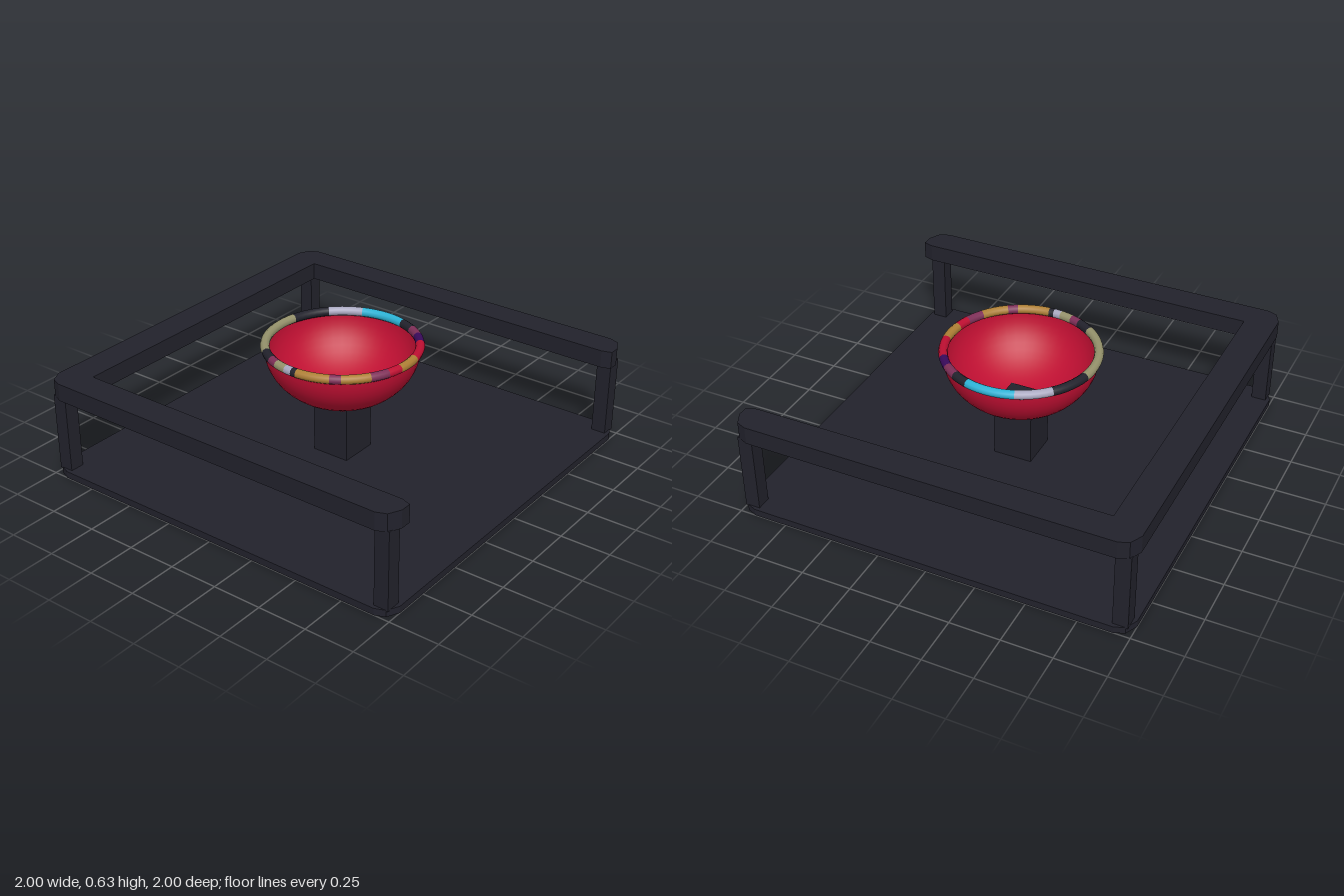
import * as THREE from 'three';

const paint = (name, color) => {
  const m = new THREE.MeshStandardMaterial({ color });
  m.name = name;
  return m;
};

export function createModel() {
  const group = new THREE.Group();
  const mats = {
    dark: paint('charcoal', 0x22222c),
    red: paint('crimson', 0xc00f32),
    gold: paint('gold', 0xae7f35),
    olive: paint('olive', 0x96936c),
    cyan: paint('cyan', 0x2cb3d6),
    lavender: paint('lavender', 0xa9a8c0),
    plum: paint('plum', 0x7f2f58),
    purple: paint('purple', 0x3a0a5c),
  };
  mats.red.side = THREE.DoubleSide;

  const add = (name, geometry, material, x = 0, y = 0, z = 0) => {
    const mesh = new THREE.Mesh(geometry, material);
    mesh.name = name;
    mesh.position.set(x, y, z);
    group.add(mesh);
    return mesh;
  };

  // Flat plate from a plan outline of [x, z] points, standing on y = 0
  const plate = (points, height) => {
    const shape = new THREE.Shape(points.map(([x, z]) => new THREE.Vector2(x, -z)));
    return new THREE.ExtrudeGeometry(shape, { depth: height, bevelEnabled: false }).rotateX(-Math.PI / 2);
  };

  // Half outlines (x > 0) with clipped corners, mirrored to the other side
  const mirror = half => [...half, ...half.map(([x, z]) => [-x, z]).reverse()];
  const outer = [[0.92, -1], [0.98, -0.97], [1, -0.92], [1, 0.92], [0.98, 0.97], [0.92, 1]];

  // Floor slab
  add('base', plate(mirror(outer), 0.035), mats.dark);

  // U-shaped rail, open at the front
  const inner = [[0.865, 1], [0.85, 0.95], [0.85, -0.84]];
  const railOutline = mirror([...outer, ...inner]);
  add('rail', plate(railOutline, 0.09), mats.dark, 0, 0.425, 0);

  // Corner posts
  for (const x of [-0.943, 0.943]) {
    for (const z of [-0.943, 0.943]) {
      add('post', new THREE.BoxGeometry(0.075, 0.4, 0.075), mats.dark, x, 0.23, z);
    }
  }

  // Pedestal, reaching just through the bowl floor
  add('pedestal', new THREE.BoxGeometry(0.2, 0.3, 0.2), mats.dark, 0, 0.175, 0);

  // Bowl
  const profile = [];
  for (let i = 0; i <= 14; i++) {
    const a = (i / 14) * Math.PI / 2;
    profile.push(new THREE.Vector2(0.38 * Math.sin(a), 0.6 - 0.3 * Math.cos(a)));
  }
  add('bowl', new THREE.LatheGeometry(profile, 48), mats.red);

  // Rim bands: colour and end angle in degrees, turning from +x towards +z
  const bands = [
    ['cyan', 16], ['dark', 29], ['plum', 41], ['purple', 53.5], ['red', 79],
    ['gold', 98], ['red', 109], ['plum', 123], ['gold', 144], ['plum', 152],
    ['gold', 177], ['dark', 181], ['lavender', 187], ['olive', 197], ['plum', 205],
    ['dark', 218], ['olive', 282], ['dark', 312], ['lavender', 339], ['cyan', 376],
  ];
  let start = 0;
  for (const [colour, end] of bands) {
    const stop = Math.min(end, 360);
    const arc = THREE.MathUtils.degToRad(stop - start);
    const steps = Math.max(1, Math.round((stop - start) / 5));
    const geometry = new THREE.TorusGeometry(0.374, 0.023, 10, steps, arc)
      .rotateX(Math.PI / 2)
      .rotateY(-THREE.MathUtils.degToRad(start));
    add('rimBand', geometry, mats[colour], 0, 0.606, 0);
    start = stop;
  }

  return group;
}
